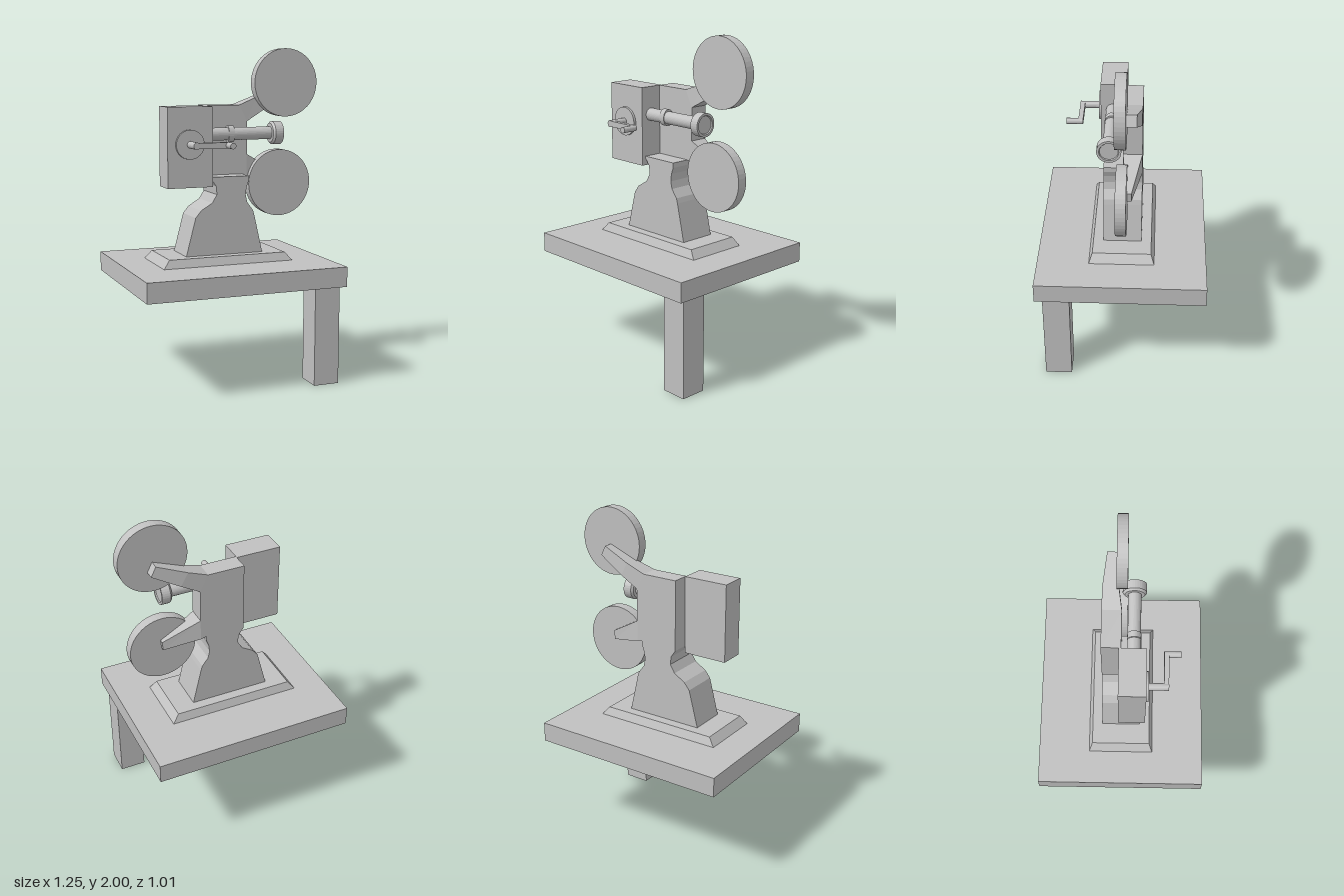
import * as THREE from 'three';

export function createModel() {
  const model = new THREE.Group();
  const grey = new THREE.MeshStandardMaterial({ color: 0xc0c0c0, flatShading: true });
  grey.name = 'plain grey';

  const add = (name, geometry, x = 0, y = 0, z = 0) => {
    const mesh = new THREE.Mesh(geometry, grey);
    mesh.name = name;
    mesh.position.set(x, y, z);
    model.add(mesh);
    return mesh;
  };

  // Box given by its limits on each axis
  const block = (name, [x0, x1], [y0, y1], [z0, z1]) =>
    add(name, new THREE.BoxGeometry(x1 - x0, y1 - y0, z1 - z0),
      (x0 + x1) / 2, (y0 + y1) / 2, (z0 + z1) / 2);

  // Flat outline extruded between two depths
  const slab = (name, points, z0, z1) => {
    const shape = new THREE.Shape(points.map(([x, y]) => new THREE.Vector2(x, y)));
    add(name, new THREE.ExtrudeGeometry(shape, { depth: z1 - z0, bevelEnabled: false }), 0, 0, z0);
  };

  // Cylinder along z
  const disc = (name, x, y, z0, z1, r, sides = 32) =>
    add(name, new THREE.CylinderGeometry(r, r, z1 - z0, sides).rotateX(Math.PI / 2),
      x, y, (z0 + z1) / 2);

  // Cylinder along x
  const barrel = (name, x0, x1, r, y, z) =>
    add(name, new THREE.CylinderGeometry(r, r, x1 - x0, 32).rotateZ(-Math.PI / 2),
      (x0 + x1) / 2, y, z);

  // Tapered bar between two end sections: { top: [x, y], bottom: [x, y], z: [back, front] }
  const taper = (name, start, end) => {
    const geometry = new THREE.BoxGeometry(1, 1, 1);
    const p = geometry.attributes.position;
    for (let i = 0; i < p.count; i++) {
      const section = p.getX(i) < 0 ? start : end;
      const [x, y] = p.getY(i) > 0 ? section.top : section.bottom;
      p.setXYZ(i, x, y, section.z[p.getZ(i) > 0 ? 1 : 0]);
    }
    geometry.computeVertexNormals();
    add(name, geometry);
  };

  // Table with its one leg
  block('tableTop', [-0.63, 0.605], [0.6, 0.72], [-0.505, 0.505]);
  block('tableLeg', [0.42, 0.58], [0, 0.6], [0.3, 0.46]);

  // Bevelled plinth
  const plinth = new THREE.BoxGeometry(0.82, 0.05, 0.39);
  const pp = plinth.attributes.position;
  for (let i = 0; i < pp.count; i++) {
    if (pp.getY(i) > 0) {
      pp.setX(i, Math.sign(pp.getX(i)) * 0.37);
      pp.setZ(i, Math.sign(pp.getZ(i)) * 0.175);
    }
  }
  plinth.computeVertexNormals();
  add('plinth', plinth, -0.02, 0.745, 0);

  // Waisted pedestal
  slab('pedestal', [
    [-0.265, 0.77], [0.225, 0.77], [0.172, 1.0], [0.163, 1.03], [0.125, 1.08],
    [0.115, 1.125], [0.12, 1.17], [0.135, 1.21], [0.135, 1.24], [-0.105, 1.24],
    [-0.105, 1.228], [-0.075, 1.185], [-0.07, 1.135], [-0.1, 1.085], [-0.17, 1.043], [-0.205, 1.0],
  ], -0.115, 0.115);

  // Head plate
  slab('head', [
    [-0.105, 1.238], [0.135, 1.238], [0.17, 1.23], [0.17, 1.56], [0.12, 1.66], [-0.105, 1.66],
  ], -0.115, -0.002);

  // Reel arms
  const bend = { top: [0.24, 1.705], bottom: [0.285, 1.625], z: [-0.113, -0.02] };
  taper('upperArmRoot', { top: [0.12, 1.66], bottom: [0.17, 1.56], z: [-0.115, -0.002] }, bend);
  taper('upperArmTip', bend, { top: [0.42, 1.775], bottom: [0.45, 1.715], z: [-0.088, -0.03] });
  taper('lowerArm',
    { top: [0.17, 1.36], bottom: [0.17, 1.23], z: [-0.115, -0.002] },
    { top: [0.39, 1.235], bottom: [0.385, 1.18], z: [-0.058, -0.03] });

  // Reels
  disc('upperReel', 0.415, 1.793, -0.032, 0.03, 0.207, 48);
  disc('lowerReel', 0.375, 1.18, -0.032, 0.03, 0.205, 48);

  // Gearbox
  block('gearbox', [-0.385, -0.106], [1.185, 1.66], [-0.015, 0.14]);

  // Lens tube, collar and flared hood
  barrel('lensTube', -0.106, 0.3, 0.038, 1.492, 0.07);
  barrel('lensCollar', 0.012, 0.048, 0.05, 1.492, 0.07).scale.z = 0.8;
  const hood = [[0, 0.29], [0.058, 0.29], [0.07, 0.302], [0.07, 0.355], [0.056, 0.355], [0.052, 0.348], [0, 0.348]]
    .map(([r, x]) => new THREE.Vector2(r, x));
  add('lensHood', new THREE.LatheGeometry(hood, 32).rotateZ(-Math.PI / 2), 0, 1.492, 0.07);

  // Hand crank
  disc('crankPlate', -0.25, 1.44, 0.14, 0.156, 0.087);
  disc('crankAxle', -0.25, 1.44, 0.15, 0.27, 0.021, 20);
  block('crankArm', [-0.25, -0.055], [1.423, 1.457], [0.242, 0.27]);
  disc('crankHandle', -0.055, 1.44, 0.242, 0.34, 0.018, 20);

  return model;
}
